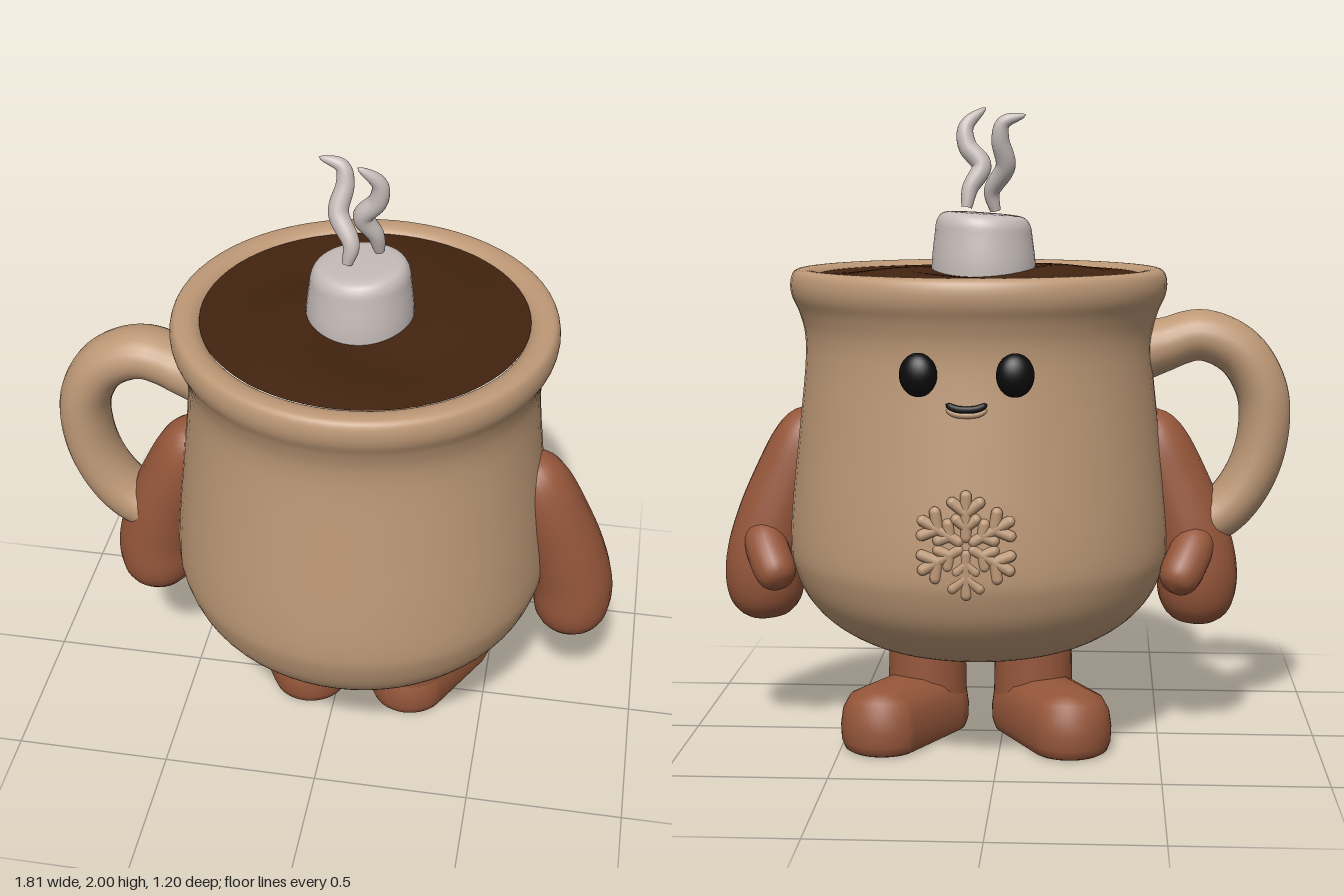
import * as THREE from 'three';
import { mergeVertices } from 'three/addons/utils/BufferGeometryUtils.js';

const V = (x, y, z) => new THREE.Vector3(x, y, z);
const mat = (name, color) => {
  const m = new THREE.MeshStandardMaterial({ color });
  m.name = name;
  return m;
};

// Weld seams and recompute smooth normals
function smooth(geo) {
  geo.deleteAttribute('uv');
  geo.deleteAttribute('normal');
  const g = mergeVertices(geo, 1e-4);
  g.computeVertexNormals();
  return g;
}

// Move every vertex by a rule
function warp(geo, rule) {
  const p = geo.attributes.position, v = V(0, 0, 0);
  for (let i = 0; i < p.count; i++) {
    v.fromBufferAttribute(p, i);
    rule(v);
    p.setXYZ(i, v.x, v.y, v.z);
  }
  return geo;
}

// Surface of revolution through a smoothed profile of [radius, y]
function turned(profile, steps = 60, sides = 64) {
  const curve = new THREE.SplineCurve(profile.map(([r, y]) => new THREE.Vector2(r, y)));
  const pts = curve.getPoints(steps).map(p => new THREE.Vector2(Math.max(p.x, 0), p.y));
  return new THREE.LatheGeometry(pts, sides);
}

// Tube along a spline whose radius follows a function of t
function taperedTube(points, radius, steps = 40, sides = 20) {
  const curve = new THREE.CatmullRomCurve3(points.map(p => V(...p)));
  const geo = new THREE.TubeGeometry(curve, steps, 1, sides);
  const p = geo.attributes.position, v = V(0, 0, 0);
  for (let i = 0; i < p.count; i++) {
    const t = Math.floor(i / (sides + 1)) / steps;
    const c = curve.getPointAt(t);
    v.fromBufferAttribute(p, i).sub(c).multiplyScalar(Math.max(radius(t), 0.0005)).add(c);
    p.setXYZ(i, v.x, v.y, v.z);
  }
  return smooth(geo);
}

const roundEnds = (t, n = 6) => Math.sqrt(Math.max(0, 1 - Math.abs(2 * t - 1) ** n));

export function createModel() {
  const model = new THREE.Group();
  model.name = 'mugCharacter';
  const root = new THREE.Group();
  root.name = 'mugAssembly';
  root.position.x = 0.075;
  model.add(root);

  const clay = mat('tanCeramic', 0xbd9876);
  const skin = mat('reddishBrown', 0x95563a);
  const cocoa = mat('darkCocoa', 0x42230f);
  const white = mat('paleGrey', 0xc6bcb9);
  const black = mat('black', 0x0b0b0b);

  const add = (name, geo, material, parent = root) => {
    const m = new THREE.Mesh(geo, material);
    m.name = name;
    parent.add(m);
    return m;
  };

  // Mug body with rolled rim
  add('mugBody', smooth(turned([
    [0, 0.29], [0.2, 0.297], [0.35, 0.325], [0.47, 0.39], [0.55, 0.475], [0.59, 0.57],
    [0.6, 0.65], [0.59, 0.8], [0.568, 1.0], [0.547, 1.2], [0.546, 1.3], [0.563, 1.37],
    [0.585, 1.42], [0.59, 1.46], [0.58, 1.493], [0.555, 1.503], [0.52, 1.498],
    [0.495, 1.475], [0.49, 1.43],
  ], 90)), clay);

  // Gently rippled drink
  const rings = [];
  for (let i = 0; i <= 16; i++) rings.push(new THREE.Vector2(0.5 * (1 - i / 16), 1.487));
  add('drink', smooth(warp(new THREE.LatheGeometry(rings, 64), v => {
    const r = Math.hypot(v.x, v.z), fade = Math.sin(Math.PI * Math.min(r / 0.5, 1));
    v.y += fade * (0.008 + 0.012 * Math.sin(2 * Math.atan2(v.z, v.x) + 9 * r));
  })), cocoa);

  // Marshmallow with a slightly tilted top
  const marshmallow = add('marshmallow', smooth(warp(turned([
    [0.163, 1.45], [0.163, 1.52], [0.154, 1.6], [0.146, 1.645], [0.122, 1.669], [0.06, 1.674], [0, 1.675],
  ], 36, 40), v => { v.y += v.x * 0.07 * (v.y - 1.45) / 0.22; })), white);
  marshmallow.position.x = -0.015;

  // Two curling steam wisps
  const wisp = t => 0.031 * Math.sin(Math.PI * Math.min(1, 0.1 + t * 0.9)) ** 0.55;
  add('steamWispRight', taperedTube([
    [-0.05, 1.68, 0.03], [-0.04, 1.74, 0.02], [-0.085, 1.82, -0.02], [-0.07, 1.9, -0.05],
    [-0.08, 1.95, -0.06], [-0.15, 1.975, -0.06],
  ], wisp), white);
  add('steamWispLeft', taperedTube([
    [0.035, 1.69, -0.045], [0.025, 1.75, -0.03], [-0.01, 1.82, -0.01], [0.035, 1.88, 0.0],
    [0.04, 1.94, 0.01], [-0.02, 2.0, 0.035],
  ], wisp), white);

  // Handle, wider front to back and flared where it meets the mug
  const handle = add('handle', taperedTube([
    [-0.48, 1.235, 0], [-0.58, 1.262, 0], [-0.7, 1.293, 0], [-0.82, 1.24, 0], [-0.892, 1.12, 0],
    [-0.898, 0.98, 0], [-0.855, 0.84, 0], [-0.77, 0.73, 0], [-0.62, 0.66, 0],
  ], t => 0.081 + 0.02 * Math.max(0, 1 - t * 8), 60, 24), clay);
  handle.scale.z = 1.22;
  handle.position.z = 0.02;

  for (const s of [1, -1]) {
    const side = s > 0 ? 'left' : 'right';

    // Arm with a mitten hand and thumb
    const arm = new THREE.Group();
    arm.name = side + 'Arm';
    root.add(arm);
    add(side + 'ArmAndHand', taperedTube([
      [s * 0.51, 1.05, 0.03], [s * 0.595, 0.86, 0.025], [s * 0.665, 0.68, 0.015],
      [s * 0.695, 0.54, 0.01], [s * 0.685, 0.365, 0.025],
    ], t => (0.107 + 0.03 * t) * roundEnds(t)), skin, arm);
    add(side + 'Thumb', taperedTube([
      [s * 0.7, 0.68, -0.03], [s * 0.66, 0.6, -0.11], [s * 0.61, 0.51, -0.175],
    ], t => 0.068 * roundEnds(t, 4), 24), skin, arm);

    // Leg
    const leg = new THREE.Group();
    leg.name = side + 'LegAndFoot';
    leg.position.set(s * 0.172, 0, 0.033);
    root.add(leg);
    const shin = add(side + 'Leg', new THREE.CylinderGeometry(0.123, 0.128, 0.33, 32), skin, leg);
    shin.position.y = 0.235;

    // Rounded foot, stretched towards the toes and splayed outwards
    const dome = [[0, 0], [0.108, 0], [0.122, 0.008], [0.132, 0.035], [0.134, 0.08], [0.127, 0.13],
      [0.105, 0.17], [0.06, 0.193], [0, 0.2]].map(p => new THREE.Vector2(...p));
    const foot = add(side + 'Foot', smooth(warp(new THREE.LatheGeometry(dome, 40), v => {
      if (v.z < -1e-4) v.z -= 0.25;
    })), skin, leg);
    foot.rotation.y = -s * 0.5;

    // Eye
    const eye = add(side + 'Eye', new THREE.SphereGeometry(1, 28, 20), black);
    eye.scale.set(0.056, 0.064, 0.042);
    eye.position.set(s * 0.14, 1.225, -0.545);
    eye.rotation.y = -s * 0.2;
  }

  // Small smile with a lower lip
  const smile = (dy, z) => [[-0.06, 1.142 + dy, z + 0.003], [-0.03, 1.128 + dy, z],
    [0.03, 1.128 + dy, z], [0.06, 1.142 + dy, z + 0.003]];
  add('mouth', taperedTube(smile(0, -0.555), t => 0.011 * roundEnds(t), 20, 10), black);
  add('lowerLip', taperedTube(smile(-0.016, -0.552), t => 0.01 * roundEnds(t), 20, 10), clay);

  // Raised snowflake ornament
  const flake = new THREE.Group();
  flake.name = 'snowflake';
  flake.position.set(0, 0.735, -0.588);
  flake.scale.z = 0.9;
  root.add(flake);
  const bar = (parent, x, y, len, angle) => {
    const m = add('snowflakeBar', new THREE.CapsuleGeometry(0.017, len, 4, 10), clay, parent);
    m.position.set(x - Math.sin(angle) * len / 2, y + Math.cos(angle) * len / 2, 0);
    m.rotation.z = angle;
  };
  for (let i = 0; i < 6; i++) {
    const spoke = new THREE.Group();
    spoke.name = 'snowflakeSpoke';
    spoke.rotation.z = i * Math.PI / 3;
    flake.add(spoke);
    bar(spoke, 0, 0.025, 0.12, 0);
    for (const s of [1, -1]) {
      bar(spoke, 0, 0.055, 0.035, s * 0.9);
      bar(spoke, 0, 0.095, 0.05, s * 0.9);
    }
  }
  return model;
}
